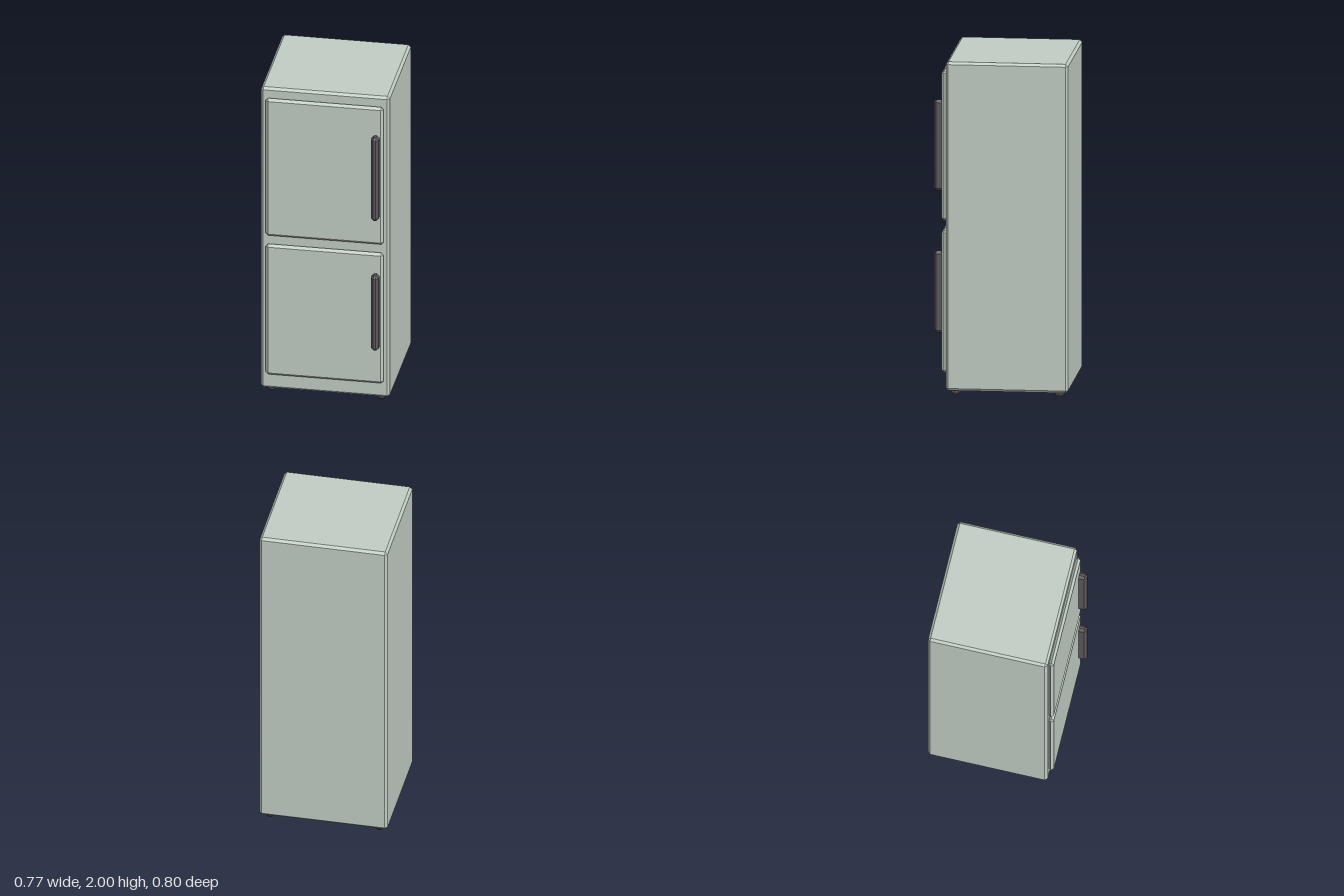
import * as THREE from 'three';
import { ConvexGeometry } from 'three/addons/geometries/ConvexGeometry.js';

const paint = new THREE.MeshStandardMaterial({ color: 0xc0ccc3, flatShading: true });
const dark = new THREE.MeshStandardMaterial({ color: 0x5c585c, flatShading: true });

// Box between two corners with every edge chamfered by c
function chamferBox(name, min, max, c, material) {
  const mid = min.map((v, i) => (v + max[i]) / 2);
  const half = min.map((v, i) => (max[i] - v) / 2);
  const points = [];
  for (const sx of [-1, 1]) for (const sy of [-1, 1]) for (const sz of [-1, 1]) {
    const s = [sx, sy, sz];
    for (let axis = 0; axis < 3; axis++) {
      // one point on each of the three faces meeting at this corner
      points.push(new THREE.Vector3(...s.map((d, i) => d * (half[i] - (i === axis ? 0 : c)))));
    }
  }
  const mesh = new THREE.Mesh(new ConvexGeometry(points), material);
  mesh.position.set(...mid);
  mesh.name = name;
  return mesh;
}

export function createModel() {
  const model = new THREE.Group();
  model.name = 'refrigerator';

  // Cabinet
  model.add(chamferBox('cabinet', [-0.384, 0.03, -0.4], [0.384, 2, 0.322], 0.015, paint));

  // Doors with their handles
  const doors = [
    { name: 'upper', y: [1.04, 1.94], grip: [1.215, 1.76] },
    { name: 'lower', y: [0.13, 0.985], grip: [0.365, 0.855] },
  ];
  for (const { name, y, grip } of doors) {
    model.add(chamferBox(name + 'Door', [-0.352, y[0], 0.319], [0.352, y[1], 0.351], 0.0155, paint));
    model.add(chamferBox(name + 'Handle', [0.285, grip[0], 0.335], [0.33, grip[1], 0.4], 0.0155, dark));
  }

  // Feet, tapered towards the floor
  const profile = [[0, 0], [0.017, 0], [0.03, 0.014], [0.03, 0.04]].map(p => new THREE.Vector2(...p));
  const footGeometry = new THREE.LatheGeometry(profile, 8);
  for (const x of [-0.328, 0.328]) for (const z of [-0.345, 0.27]) {
    const foot = new THREE.Mesh(footGeometry, dark);
    foot.name = 'foot';
    foot.position.set(x, 0, z);
    model.add(foot);
  }
  return model;
}
